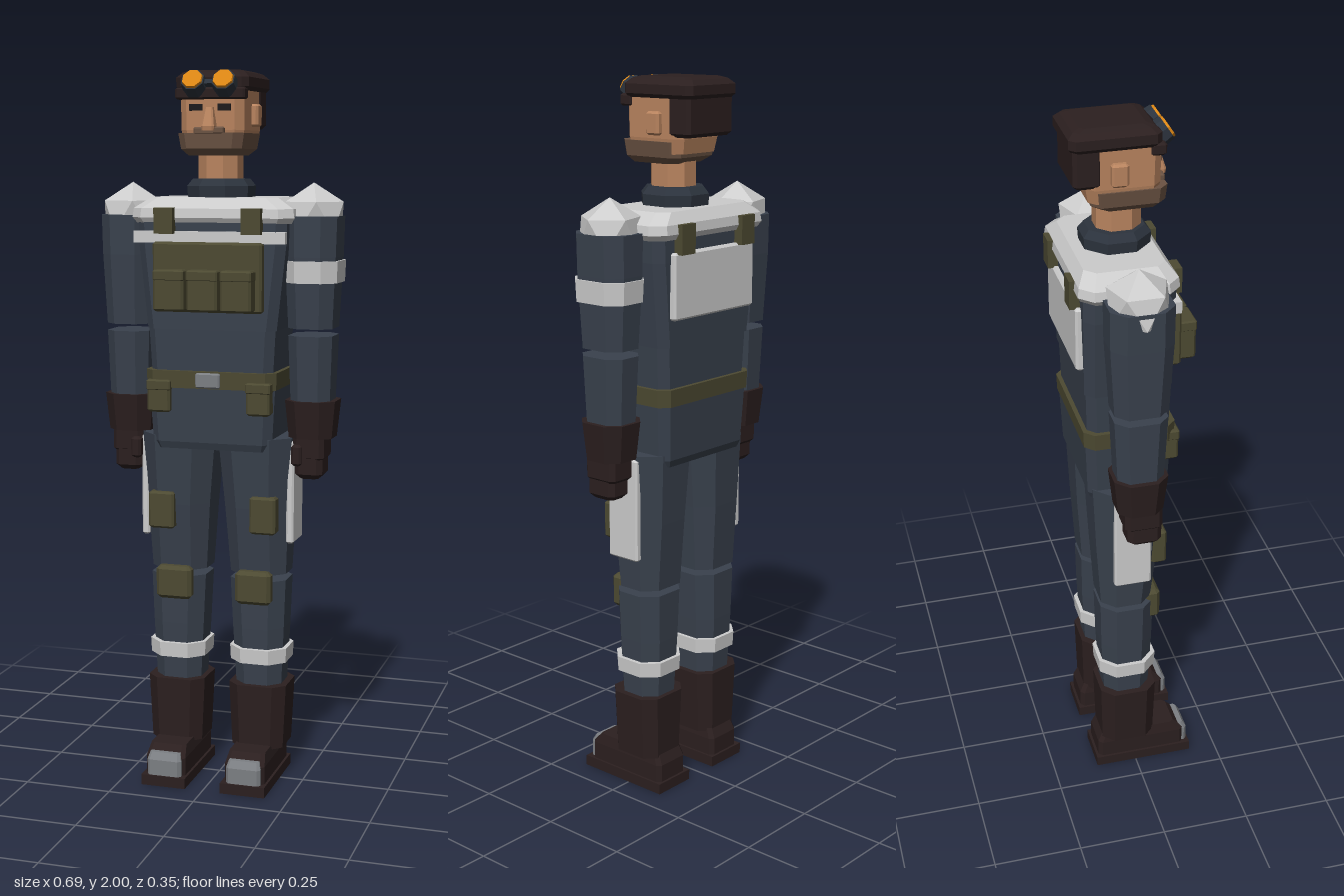
import * as THREE from 'three';

const mat = (name, color) => {
  const m = new THREE.MeshStandardMaterial({ color });
  m.name = name;
  return m;
};

export function createModel() {
  const root = new THREE.Group();
  root.name = 'fieldWorker';
  const suit = mat('slateSuit', 0x39414d), darkSuit = mat('darkSlate', 0x2c333d);
  const leather = mat('darkBrownLeather', 0x2b1f1f), olive = mat('oliveWebbing', 0x4d4a32);
  const pale = mat('paleArmour', 0xcccccc), metal = mat('greyMetal', 0x7c7f83);
  const skin = mat('skin', 0xb9845f), beardMat = mat('beardBrown', 0x6b5343);
  const amber = mat('amberLens', 0xdc8614), black = mat('eyeDark', 0x1c1a1c);

  const add = (name, geometry, material, x = 0, y = 0, z = 0, parent = root) => {
    const m = new THREE.Mesh(geometry, material);
    m.name = name;
    m.position.set(x, y, z);
    parent.add(m);
    return m;
  };

  // Stacks chamfered rectangles: each section is [y, width, depth, x, z]
  const loft = (sections, chamfer = 0.25) => {
    const rings = sections.map(([y, w, d, x = 0, z = 0]) => {
      const a = w / 2, b = d / 2, c = Math.min(w, d) * chamfer;
      return [[a, b - c], [a, c - b], [a - c, -b], [c - a, -b], [-a, c - b], [-a, b - c], [c - a, b], [a - c, b]]
        .map(([px, pz]) => [x + px, y, z + pz]);
    });
    const pos = [];
    const tri = (...p) => p.forEach(v => pos.push(...v));
    for (let k = 0; k + 1 < rings.length; k++) {
      const lo = rings[k], hi = rings[k + 1];
      for (let i = 0; i < 8; i++) {
        const j = (i + 1) % 8;
        tri(lo[i], lo[j], hi[j]);
        tri(lo[i], hi[j], hi[i]);
      }
    }
    const bottom = rings[0], top = rings[rings.length - 1];
    for (let i = 1; i < 7; i++) {
      tri(top[0], top[i], top[i + 1]);
      tri(bottom[0], bottom[i + 1], bottom[i]);
    }
    const g = new THREE.BufferGeometry();
    g.setAttribute('position', new THREE.Float32BufferAttribute(pos, 3));
    g.computeVertexNormals();
    return g;
  };

  // Box with bevelled edges
  const bevelBox = (w, h, d, c = 0.006) => loft([
    [-h / 2, w - 2 * c, d - 2 * c], [-h / 2 + c, w, d], [h / 2 - c, w, d], [h / 2, w - 2 * c, d - 2 * c],
  ], c / Math.min(w, d));
  const box = (w, h, d) => new THREE.BoxGeometry(w, h, d);
  const facet = g => {
    const f = g.toNonIndexed();
    f.computeVertexNormals();
    return f;
  };

  // Torso
  add('pelvis', loft([[0.965, 0.33, 0.21, 0, -0.02], [0.985, 0.345, 0.225, 0, -0.02], [1.15, 0.365, 0.24, 0, -0.02]], 0.1), suit);
  add('abdomen', loft([[1.14, 0.345, 0.225, 0, -0.02], [1.31, 0.365, 0.235, 0, -0.02]], 0.1), suit);
  add('chest', loft([[1.3, 0.37, 0.24, 0, -0.022], [1.53, 0.42, 0.245, 0, -0.025], [1.62, 0.425, 0.245, 0, -0.025]], 0.1), suit);
  add('shoulderYoke', loft([[1.59, 0.44, 0.25, 0, -0.029], [1.605, 0.462, 0.268, 0, -0.029],
    [1.63, 0.455, 0.262, 0, -0.029], [1.66, 0.36, 0.215, 0, -0.03]], 0.13), pale);
  add('chestStripe', box(0.43, 0.032, 0.02), pale, 0, 1.553, 0.096);
  add('backPlate', bevelBox(0.33, 0.18, 0.025), pale, 0, 1.465, -0.15);
  add('collar', loft([[1.65, 0.17, 0.175, 0, -0.018], [1.69, 0.175, 0.18, 0, -0.018], [1.71, 0.145, 0.15, 0, -0.018]], 0.29), darkSuit);

  // Webbing
  add('chestRig', bevelBox(0.31, 0.19, 0.04), olive, 0, 1.445, 0.105);
  for (const x of [-0.095, 0, 0.095]) {
    add('chestPouch', bevelBox(0.086, 0.11, 0.055), olive, x, 1.41, 0.143);
    add('pouchFlap', bevelBox(0.088, 0.03, 0.06, 0.004), olive, x, 1.452, 0.142);
  }
  add('belt', loft([[1.138, 0.372, 0.25, 0, -0.019], [1.186, 0.376, 0.254, 0, -0.019]], 0.1), olive);
  add('buckle', bevelBox(0.07, 0.042, 0.014, 0.004), metal, 0, 1.162, 0.112);

  // Head
  add('neck', loft([[1.68, 0.112, 0.12, 0, -0.012], [1.79, 0.112, 0.12, 0, -0.012]], 0.29), skin);
  add('head', loft([[1.8, 0.165, 0.18, 0, -0.012], [1.84, 0.178, 0.195, 0, -0.012], [1.96, 0.18, 0.2, 0, -0.012]], 0.12), skin);
  add('beard', loft([[1.772, 0.135, 0.15, 0, 0.01], [1.79, 0.172, 0.195, 0, 0.003], [1.832, 0.186, 0.205, 0, 0.002]], 0.13), beardMat);
  add('moustache', bevelBox(0.085, 0.02, 0.022, 0.004), beardMat, 0, 1.838, 0.095);
  add('nose', loft([[1.838, 0.034, 0.04, 0, 0.095], [1.85, 0.036, 0.044, 0, 0.095], [1.9, 0.02, 0.025, 0, 0.088]], 0.15), skin);
  add('hair', bevelBox(0.186, 0.13, 0.075, 0.01), leather, 0, 1.91, -0.108);
  add('cap', loft([[1.945, 0.19, 0.225, 0, -0.035], [1.955, 0.205, 0.24, 0, -0.036], [1.98, 0.205, 0.24, 0, -0.036],
    [1.994, 0.175, 0.21, 0, -0.036], [2.0, 0.14, 0.17, 0, -0.036]], 0.08), leather);
  add('goggleStrap', bevelBox(0.196, 0.032, 0.04, 0.005), leather, 0, 1.937, 0.075);
  const goggles = new THREE.Group();
  goggles.name = 'goggles';
  goggles.position.set(0, 1.963, 0.094);
  goggles.rotation.x = -0.58;
  root.add(goggles);
  const rim = facet(new THREE.CylinderGeometry(0.033, 0.036, 0.034, 8).rotateY(Math.PI / 8).rotateX(Math.PI / 2));
  const lens = facet(new THREE.CylinderGeometry(0.028, 0.03, 0.009, 8).rotateY(Math.PI / 8).rotateX(Math.PI / 2));
  add('goggleBridge', box(0.03, 0.014, 0.018), darkSuit, 0, 0, 0, goggles);

  // Shoulder cap with one point straight up
  const shoulderGeo = new THREE.IcosahedronGeometry(0.093, 0).rotateZ(-0.5536);

  for (const s of [-1, 1]) {
    // Face and goggles
    add('ear', bevelBox(0.026, 0.062, 0.045, 0.006), skin, s * 0.094, 1.88, -0.027);
    add('eye', box(0.036, 0.018, 0.006), black, s * 0.04, 1.9, 0.088);
    add('goggleRim', rim, darkSuit, s * 0.043, 0, 0, goggles);
    add('goggleLens', lens, amber, s * 0.043, 0, 0.019, goggles);

    // Straps and belt pouches
    add('frontStrap', box(0.054, 0.07, 0.034), olive, s * 0.124, 1.597, 0.107);
    add('backStrap', box(0.054, 0.08, 0.034), olive, s * 0.124, 1.59, -0.158);
    add('beltPouch', bevelBox(0.066, 0.085, 0.05), olive, s * 0.143, 1.112, 0.092);
    add('beltPouchFlap', bevelBox(0.07, 0.03, 0.054, 0.004), olive, s * 0.143, 1.145, 0.092);

    // Arm
    const ax = s * 0.265, az = -0.022;
    add('shoulderCap', shoulderGeo, pale, s * 0.262, 1.607, az);
    add('upperArm', loft([[1.305, 0.124, 0.145, ax, az], [1.5, 0.142, 0.168, ax, az], [1.61, 0.148, 0.17, ax, az]]), suit);
    add('forearm', loft([[1.08, 0.11, 0.125, ax, az], [1.285, 0.124, 0.145, ax, az]]), suit);
    add('gloveCuff', loft([[1.0, 0.122, 0.125, ax, az], [1.105, 0.142, 0.148, ax, az]]), leather);
    add('palm', bevelBox(0.088, 0.08, 0.105, 0.012), leather, ax, 0.975, -0.014);
    add('fingers', bevelBox(0.078, 0.075, 0.095, 0.014), leather, ax, 0.924, -0.01);
    add('thumb', bevelBox(0.03, 0.06, 0.035, 0.007), leather, s * 0.235, 0.955, 0.035);

    // Leg
    add('thigh', loft([[0.607, 0.162, 0.145, s * 0.117, -0.028], [0.8, 0.185, 0.18, s * 0.115, -0.023],
      [1.0, 0.214, 0.205, s * 0.111, -0.02]]), suit);
    add('shin', loft([[0.25, 0.13, 0.13, s * 0.12, -0.024], [0.45, 0.15, 0.15, s * 0.119, -0.024],
      [0.59, 0.162, 0.155, s * 0.118, -0.024]]), suit);
    add('shinBand', loft([[0.35, 0.162, 0.164, s * 0.12, -0.023], [0.392, 0.166, 0.168, s * 0.12, -0.023]]), pale);
    add('thighPouch', bevelBox(0.075, 0.105, 0.045), olive, s * 0.148, 0.785, 0.063);
    add('kneePad', bevelBox(0.104, 0.095, 0.04, 0.01), olive, s * 0.117, 0.573, 0.054);
    add('thighPlate', bevelBox(0.022, 0.29, 0.105, 0.005), pale, s * 0.213, 0.845, -0.022);

    // Boot
    const bx = s * 0.117;
    add('bootShaft', loft([[0.1, 0.15, 0.155, s * 0.121, -0.022], [0.285, 0.168, 0.165, s * 0.121, -0.022]], 0.2), leather);
    add('bootFoot', loft([[0.028, 0.116, 0.265, bx, 0.02], [0.08, 0.116, 0.265, bx, 0.02], [0.112, 0.104, 0.22, bx, 0.012]], 0.1), leather);
    add('bootSole', box(0.13, 0.03, 0.29), leather, bx, 0.015, 0.025);
    add('toeCap', loft([[0.028, 0.1, 0.07, bx, 0.13], [0.075, 0.1, 0.07, bx, 0.13], [0.095, 0.088, 0.055, bx, 0.126]], 0.12), metal);
  }

  // Reflective band on the left arm only
  add('leftArmBand', loft([[1.43, 0.146, 0.172, 0.267, -0.022], [1.49, 0.15, 0.178, 0.267, -0.022]]), pale);
  return root;
}
